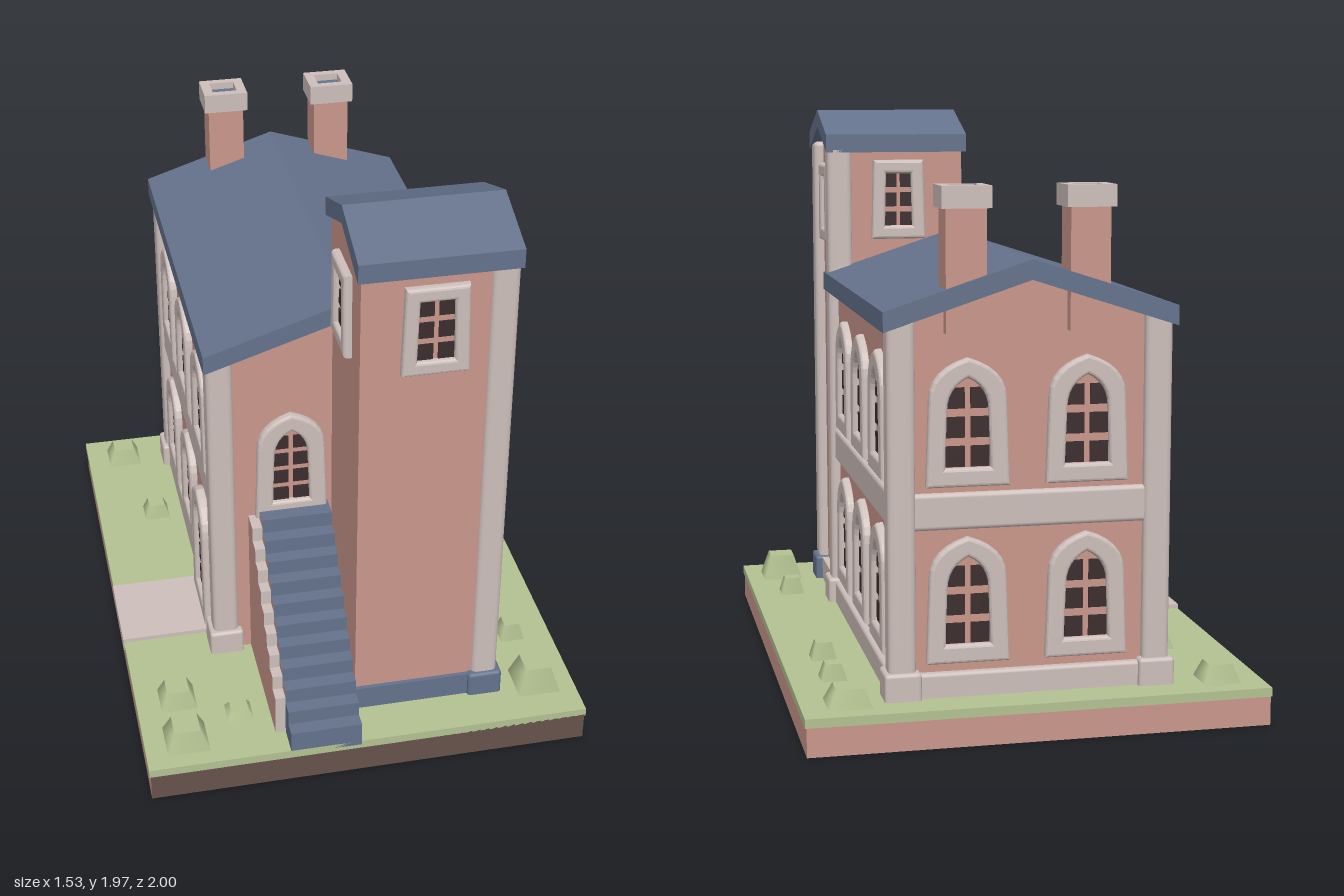
import * as THREE from 'three';
import { RoundedBoxGeometry } from 'three/addons/geometries/RoundedBoxGeometry.js';

const mat = (name, color) => {
  const m = new THREE.MeshStandardMaterial({ color });
  m.name = name;
  return m;
};

export function createModel() {
  const pink = mat('pink plaster', 0xc9978b);
  const blue = mat('slate blue', 0x64728b);
  const white = mat('pale stone', 0xcdbfbb);
  const green = mat('grass green', 0xb3c191);
  const dark = mat('dark glass', 0x3c2d2d);
  const brown = mat('earth brown', 0x65524a);

  const root = new THREE.Group();
  root.name = 'towerHouse';

  const add = (parent, name, geo, material) => {
    const m = new THREE.Mesh(geo, material);
    m.name = name;
    parent.add(m);
    return m;
  };
  // Box given by its limits; a radius rounds the edges
  const box = (name, x0, x1, y0, y1, z0, z1, material, r = 0, parent = root) => {
    const s = [x1 - x0, y1 - y0, z1 - z0];
    const geo = r ? new RoundedBoxGeometry(...s, 2, r) : new THREE.BoxGeometry(...s);
    const m = add(parent, name, geo, material);
    m.position.set((x0 + x1) / 2, (y0 + y1) / 2, (z0 + z1) / 2);
    return m;
  };
  const polygon = pts => new THREE.Shape(pts.map(p => new THREE.Vector2(...p)));
  const prism = (name, pts, depth, material) =>
    add(root, name, new THREE.ExtrudeGeometry(polygon(pts), { depth, bevelEnabled: false }), material);

  // Ground slab and lawn
  box('base', -0.76, 0.76, 0, 0.1, -1, 1, [pink, pink, pink, pink, brown, pink], 0);
  box('lawn', -0.765, 0.765, 0.095, 0.125, -1, 1, green);
  box('path', -0.768, -0.42, 0.09, 0.14, 0, 0.32, white);

  // Main house with gabled walls
  const house = prism('houseWalls',
    [[-0.42, 0.12], [0.45, 0.12], [0.45, 1.34], [0.02, 1.48], [-0.42, 1.34]], 1.27, pink);
  house.position.z = -0.85;
  const houseRoof = prism('houseRoof',
    [[-0.46, 1.31], [0.02, 1.465], [0.495, 1.31], [0.495, 1.375], [0.02, 1.53], [-0.46, 1.375]], 1.35, blue);
  houseRoof.position.z = -0.9;
  box('floorBand', -0.438, 0.468, 0.67, 0.79, -0.868, 0.415, white, 0.015);
  box('housePlinth', -0.44, 0.475, 0.11, 0.205, -0.875, 0.415, white, 0.012);

  // Tower, its gable facing sideways
  const tower = prism('towerWalls',
    [[-0.82, 0.12], [-0.4, 0.12], [-0.4, 1.84], [-0.61, 1.93], [-0.82, 1.84]], 0.47, pink);
  tower.rotation.y = Math.PI / 2;
  tower.position.x = -0.02;
  const towerRoof = prism('towerRoof',
    [[-0.845, 1.82], [-0.61, 1.91], [-0.375, 1.82], [-0.375, 1.885], [-0.61, 1.972], [-0.845, 1.885]], 0.525, blue);
  towerRoof.rotation.y = Math.PI / 2;
  towerRoof.position.x = -0.035;
  box('towerPlinth', -0.03, 0.44, 0.11, 0.21, 0.7, 0.835, blue);
  box('towerSidePlinth', 0.4, 0.475, 0.11, 0.21, 0.42, 0.78, white);

  // Corner pillars with feet
  const pillar = (x, z, top, foot) => {
    box('cornerPillar', x - 0.045, x + 0.045, 0.12, top, z - 0.045, z + 0.045, white, 0.02);
    box('pillarFoot', x - 0.06, x + 0.06, 0.11, 0.215, z - 0.06, z + 0.06, foot, 0.012);
  };
  pillar(-0.405, 0.39, 1.36, white);
  pillar(-0.405, -0.835, 1.36, white);
  pillar(0.435, -0.835, 1.35, white);
  pillar(0.44, 0.42, 1.85, white);
  pillar(0.44, 0.79, 1.85, blue);

  // Chimneys: shaft, rim around an opening, dark-blue flue
  for (const x of [-0.17, 0.23]) {
    box('chimneyShaft', x - 0.065, x + 0.065, 1.3, 1.7, -0.89, -0.775, pink);
    const rim = polygon([[-0.08, -0.07], [0.08, -0.07], [0.08, 0.07], [-0.08, 0.07]]);
    rim.holes.push(polygon([[-0.045, -0.04], [-0.045, 0.04], [0.045, 0.04], [0.045, -0.04]]));
    const cap = add(root, 'chimneyCap',
      new THREE.ExtrudeGeometry(rim, { depth: 0.07, bevelEnabled: false }), white);
    cap.rotation.x = -Math.PI / 2;
    cap.position.set(x, 1.69, -0.832);
    box('chimneyFlue', x - 0.045, x + 0.045, 1.69, 1.735, -0.872, -0.792, blue);
  }

  // Opening outline: slightly tapered, with a soft pointed arch or a flat top
  const outline = (w, h, y0, arched) => {
    const s = new THREE.Shape();
    const a = w / 2, b = a * 0.92;
    s.moveTo(-a, y0);
    s.lineTo(a, y0);
    if (arched) {
      s.lineTo(b, y0 + h - 0.12);
      s.quadraticCurveTo(b, y0 + h - 0.035, 0, y0 + h);
      s.quadraticCurveTo(-b, y0 + h - 0.035, -b, y0 + h - 0.12);
    } else {
      s.lineTo(b, y0 + h);
      s.lineTo(-b, y0 + h);
    }
    s.closePath();
    return s;
  };
  // Framed opening with 2 columns of panes; faces +z before turning
  const opening = (name, x, y, z, turn, w, h, arched = true, rows = 3) => {
    const g = new THREE.Group();
    g.name = name;
    g.position.set(x, y, z);
    g.rotation.y = turn;
    root.add(g);
    const f = arched ? 0.05 : 0.038;
    const frame = outline(w - 0.02, h - 0.02, 0.01, arched);
    const inner = outline(w - 2 * f, h - 2 * f, f, arched);
    frame.holes.push(inner);
    add(g, 'frame', new THREE.ExtrudeGeometry(frame, {
      depth: 0.012, bevelThickness: 0.014, bevelSize: 0.011, bevelSegments: 3, curveSegments: 6,
    }), white);
    add(g, 'glazingBars', new THREE.ShapeGeometry(inner, 6), pink).position.z = 0.004;
    const iw = w - 2 * f, ih = h - 2 * f - (arched ? 0.03 : 0);
    const pw = iw * 0.36, ph = ih / rows * 0.72;
    for (let r = 0; r < rows; r++) {
      for (const side of [-1, 1]) {
        const px = side * iw * 0.235, py = f + ih * (r + 0.5) / rows;
        box('pane', px - pw / 2, px + pw / 2, py - ph / 2, py + ph / 2, 0.002, 0.009, dark, 0, g);
      }
    }
  };
  const R = Math.PI / 2, L = -Math.PI / 2, B = Math.PI;

  // Side windows on both floors, with a door on one side
  for (const z of [0.155, -0.22, -0.6]) {
    for (const y of [0.235, 0.81]) {
      opening('rightWindow', 0.452, y, z, R, 0.28, 0.41);
      if (z < 0 || y > 0.5) opening('leftWindow', -0.422, y, z, L, 0.28, 0.41);
    }
  }
  opening('sideDoor', -0.437, 0.13, 0.16, L, 0.28, 0.52, true, 4);
  // Back windows
  for (const x of [-0.17, 0.22]) {
    for (const y of [0.235, 0.81]) opening('backWindow', x, y, -0.852, B, 0.27, 0.41);
  }
  // Front door at the head of the stairs
  opening('frontDoor', -0.165, 0.7, 0.422, 0, 0.25, 0.41, true, 4);
  // Tower windows on all four sides
  opening('towerFrontWindow', 0.22, 1.47, 0.822, 0, 0.22, 0.31, false);
  opening('towerBackWindow', 0.22, 1.5, 0.398, B, 0.2, 0.29, false);
  opening('towerRightWindow', 0.452, 1.48, 0.595, R, 0.2, 0.29, false);
  opening('towerLeftWindow', -0.022, 1.48, 0.61, L, 0.2, 0.29, false);

  // Stairs rising to the front door, with a stepped curb
  const steps = 11;
  for (let i = 0; i < steps; i++) {
    const top = 0.2 + i * 0.053, z1 = 1 - i * 0.05;
    const z0 = i === steps - 1 ? 0.4 : z1 - 0.05;
    const sides = i < 2 ? blue : pink;
    box('step', -0.28, -0.035, 0.11, top, z0, z1, [sides, sides, blue, pink, blue, pink]);
    if (i > 1) box('stairCurb', -0.315, -0.28, 0.11, top - 0.03, z0, z1, [pink, pink, white, pink, white, pink]);
  }

  // Low bushes: [x, z, width, height]
  const bushes = [
    [-0.62, -0.87, 0.13, 0.06], [0.61, -0.87, 0.15, 0.06], [0.62, -0.59, 0.09, 0.055],
    [-0.54, -0.46, 0.1, 0.05], [0.62, -0.35, 0.09, 0.06], [-0.62, 0.66, 0.13, 0.06],
    [-0.62, 0.87, 0.15, 0.07], [0.62, 0.55, 0.09, 0.06], [0.63, 0.82, 0.15, 0.09],
    [-0.42, 0.77, 0.1, 0.025],
  ];
  for (const [x, z, w, h] of bushes) {
    const geo = new THREE.CylinderGeometry(w * 0.42, w * 0.72, h + 0.01, 4, 1);
    geo.rotateY(Math.PI / 4);
    add(root, 'bush', geo, green).position.set(x, 0.12 + h / 2, z);
  }

  return root;
}
